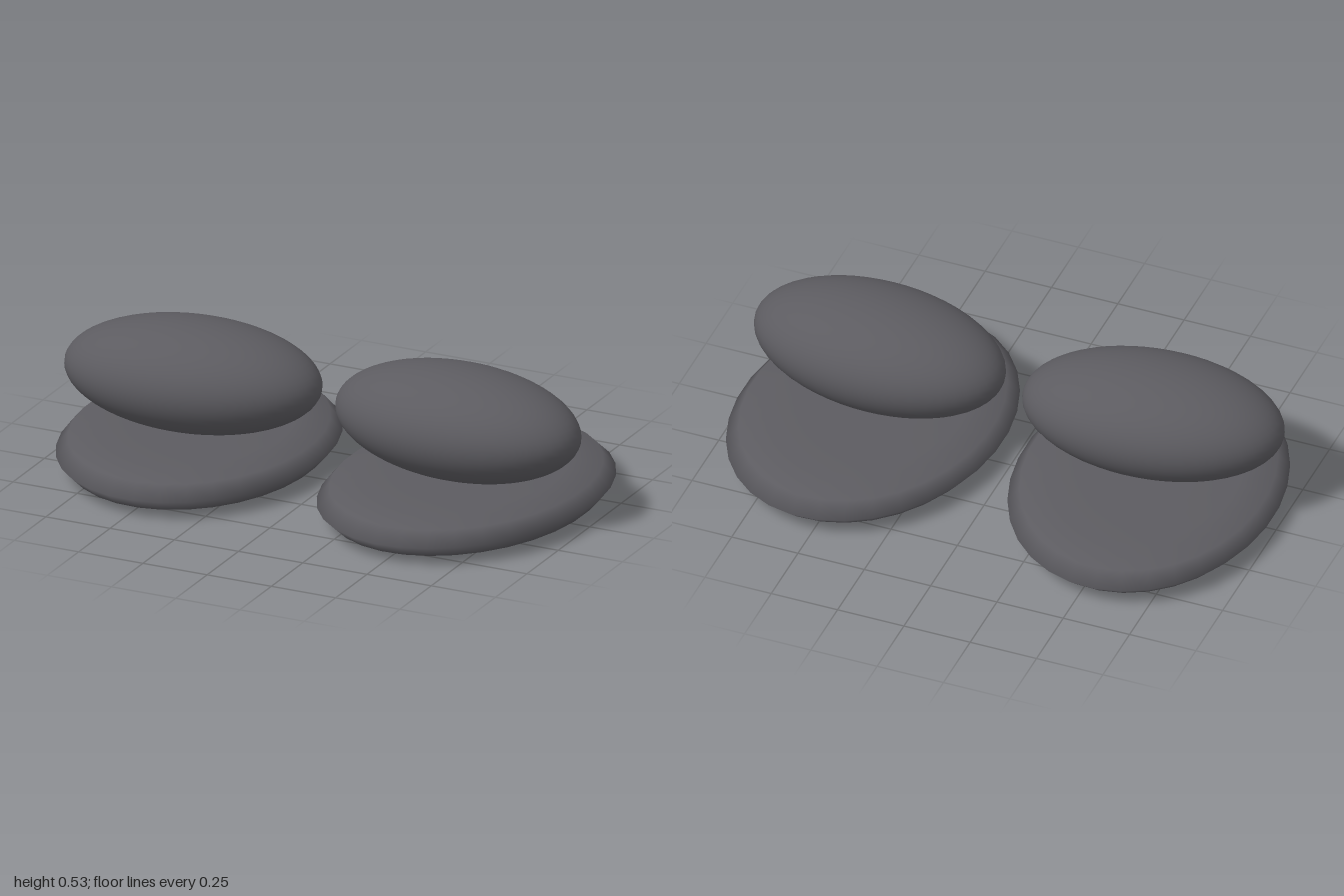
import * as THREE from 'three';

export function createModel() {
  const model = new THREE.Group();
  model.name = 'pairedPads';
  const darkGrey = new THREE.MeshStandardMaterial({ color: 0x5c5b60 });
  darkGrey.name = 'darkGrey';

  // Flat oval pad: radius fraction and height, from bottom to top
  const profile = [
    [0, 0.004], [0.38, 0.005], [0.69, 0.008], [0.915, 0.028], [1, 0.075],
    [0.915, 0.124], [0.69, 0.144], [0.38, 0.147], [0, 0.148],
  ].map(([r, y]) => new THREE.Vector2(r, y));
  const padGeometry = new THREE.LatheGeometry(profile, 32);
  padGeometry.scale(0.478, 1, 0.64);

  // Smooth egg-shaped body resting on the pad
  const bodyGeometry = new THREE.SphereGeometry(1, 48, 32);
  bodyGeometry.scale(0.474, 0.198, 0.272);

  // Mirrored pair, each turned slightly about its centre
  for (const side of [-1, 1]) {
    const unit = new THREE.Group();
    unit.name = side > 0 ? 'leftUnit' : 'rightUnit';
    unit.position.x = side * 0.52;
    unit.rotation.y = -side * 0.08;

    const pad = new THREE.Mesh(padGeometry, darkGrey);
    pad.name = 'ovalPad';
    const body = new THREE.Mesh(bodyGeometry, darkGrey);
    body.name = 'ellipsoidBody';
    body.position.set(0, 0.337, 0.055);

    unit.add(pad, body);
    model.add(unit);
  }
  return model;
}
